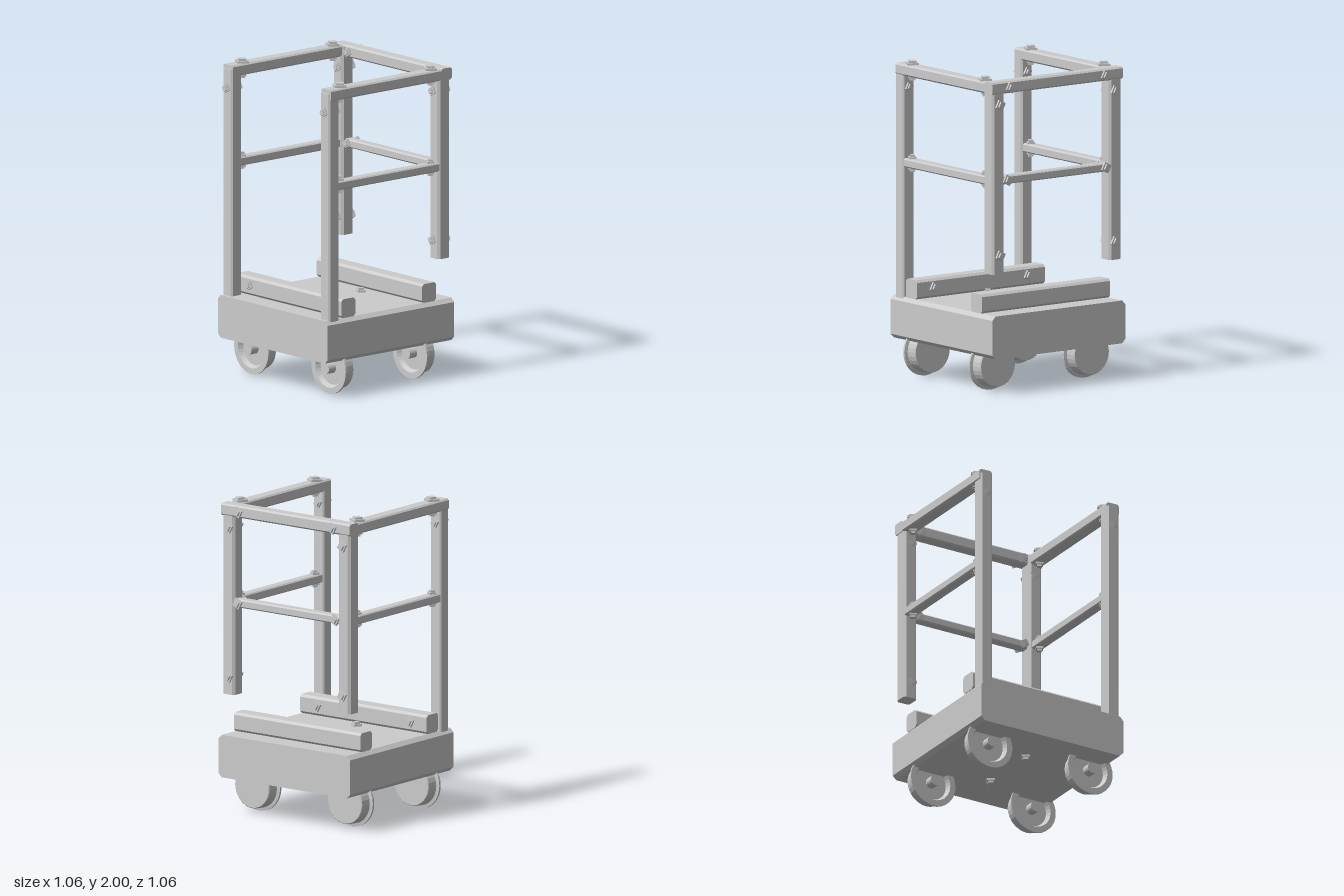
import * as THREE from 'three';

const material = new THREE.MeshStandardMaterial({ color: 0xcccccc, flatShading: true });

// Chamfered bar between min and max corners, its length running along axis
function bar(name, axis, [x0, x1], [y0, y1], [z0, z1], chamfer = 0.01) {
  const sx = x1 - x0, sy = y1 - y0, sz = z1 - z0;
  const [w, h, length] = { x: [sz, sy, sx], y: [sx, sz, sy], z: [sx, sy, sz] }[axis];
  const a = w / 2, b = h / 2, c = chamfer;
  const outline = new THREE.Shape([
    [a - c, -b], [a, c - b], [a, b - c], [a - c, b],
    [c - a, b], [-a, b - c], [-a, c - b], [c - a, -b],
  ].map(([u, v]) => new THREE.Vector2(u, v)));
  const geometry = new THREE.ExtrudeGeometry(outline, { depth: length, bevelEnabled: false });
  geometry.translate(0, 0, -length / 2);
  if (axis === 'x') geometry.rotateY(Math.PI / 2);
  if (axis === 'y') geometry.rotateX(-Math.PI / 2);
  const mesh = new THREE.Mesh(geometry, material);
  mesh.position.set((x0 + x1) / 2, (y0 + y1) / 2, (z0 + z1) / 2);
  mesh.name = name;
  return mesh;
}

// Through bolt: a square plate and smaller square head at both ends
function bolt(name, axis, x, y, z, span, topRadius = 0.032, endRadius = 0.032) {
  const group = new THREE.Group();
  group.name = name;
  for (const side of [1, -1]) {
    const r = side > 0 ? topRadius : endRadius;
    for (const [part, radius, height, offset] of [['plate', r, 0.014, 0.006], ['head', r * 0.65, 0.026, 0.013]]) {
      const mesh = new THREE.Mesh(new THREE.CylinderGeometry(radius, radius, height, 4), material);
      mesh.position.y = side * (span / 2 + offset);
      mesh.rotation.y = 0.3;
      mesh.name = part;
      group.add(mesh);
    }
  }
  if (axis === 'x') group.rotation.z = -Math.PI / 2;
  group.position.set(x, y, z);
  return group;
}

// Flanged wheel with a dished inner side and a projecting hub
function wheel(x, z) {
  const profile = [
    [0, -0.028], [0.035, -0.028], [0.035, 0.03], [0.11, 0.03], [0.125, 0],
    [0.163, 0], [0.163, 0.014], [0.142, 0.018], [0.136, 0.085], [0.132, 0.089], [0, 0.089],
  ].map(([r, d]) => new THREE.Vector2(r, d));
  const mesh = new THREE.Mesh(new THREE.LatheGeometry(profile, 32), material);
  mesh.rotation.z = -Math.PI / 2;
  mesh.position.set(x, 0.166, z);
  mesh.name = 'wheel';
  return mesh;
}

export function createModel() {
  const model = new THREE.Group();
  model.name = 'railCart';

  // Deck and the two bumper beams lying on it
  model.add(
    bar('deck', 'x', [-0.53, 0.51], [0.235, 0.505], [-0.52, 0.52], 0.025),
    bar('rightFloorBeam', 'z', [-0.4, -0.285], [0.505, 0.625], [-0.5, 0.5], 0.015),
    bar('leftFloorBeam', 'z', [0.265, 0.38], [0.505, 0.625], [-0.5, 0.5], 0.015),
  );
  for (const x of [-0.215, 0.195]) model.add(bolt('deckBolt', 'y', x, 0.37, 0, 0.27, 0.036, 0.036));

  // Railing sides, mirrored front to back
  for (const s of [1, -1]) {
    const depth = (inner, outer) => (s > 0 ? [inner, outer] : [-outer, -inner]);
    model.add(
      bar('longPost', 'y', [-0.505, -0.42], [0.495, 1.945], depth(0.42, 0.505)),
      bar('shortPost', 'y', [0.397, 0.495], [0.765, 1.965], depth(0.41, 0.505), 0.015),
      bar('topRail', 'x', [-0.495, 0.42], [1.9, 1.972], depth(0.42, 0.51)),
      bar('middleRail', 'x', [-0.44, 0.42], [1.322, 1.378], depth(0.43, 0.5), 0.008),
    );
    for (const x of [-0.383, 0.363]) {
      model.add(bolt('topRailBolt', 'y', x, 1.936, s * 0.463, 0.072, 0.051, 0.034));
      model.add(bolt('middleRailBolt', 'y', x, 1.35, s * 0.463, 0.054));
    }
    model.add(
      bolt('longPostBolt', 'x', -0.4625, 1.825, s * 0.463, 0.085),
      bolt('shortPostUpperBolt', 'x', 0.446, 1.83, s * 0.45, 0.098, 0.038),
      bolt('shortPostLowerBolt', 'x', 0.446, 0.88, s * 0.45, 0.098, 0.038),
      bolt('endRailBolt', 'x', 0.457, 1.935, s * 0.372, 0.085, 0.038),
      bolt('endMiddleRailBolt', 'x', 0.452, 1.352, s * 0.385, 0.066, 0.038),
      bolt('floorBeamBolt', 'x', -0.3425, 0.57, s * 0.368, 0.115, 0.038),
    );
    for (const x of [-0.389, 0.279]) model.add(wheel(x, s * 0.367));
  }

  // Rails closing the left end
  model.add(
    bar('endTopRail', 'z', [0.415, 0.5], [1.9, 1.976], [-0.51, 0.51]),
    bar('endMiddleRail', 'z', [0.42, 0.485], [1.325, 1.378], [-0.45, 0.45], 0.008),
  );
  return model;
}
